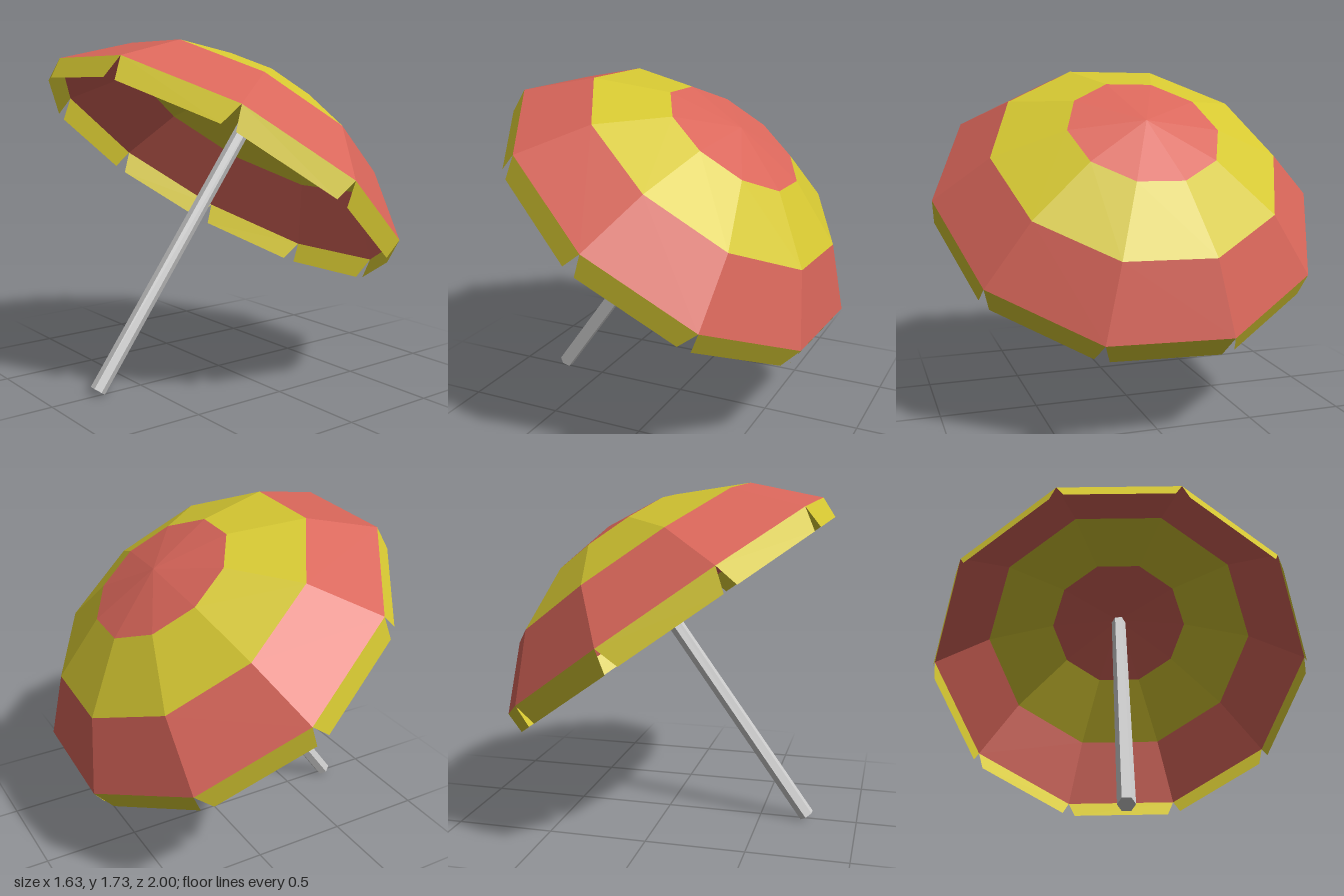
import * as THREE from 'three';

const SIDES = 10;
const paint = (color, side = THREE.FrontSide) =>
  new THREE.MeshStandardMaterial({ color, side, flatShading: true });

export function createModel() {
  const red = paint(0xd9665a, THREE.DoubleSide);
  const yellow = paint(0xd6c832, THREE.DoubleSide);
  const grey = paint(0xcccccc);

  const model = new THREE.Group();
  model.name = 'beachUmbrella';

  // Built upright with the rim at y = 0, then leaned over
  const lean = new THREE.Group();
  lean.name = 'leaningUmbrella';
  lean.position.set(0.033, 1.097, 0);
  lean.rotation.set(0.01, 0, -0.626);
  model.add(lean);

  const umbrella = new THREE.Group();
  umbrella.name = 'umbrella';
  umbrella.rotation.y = -0.05;
  lean.add(umbrella);

  const add = (name, geometry, material, parent = umbrella) => {
    const mesh = new THREE.Mesh(geometry, material);
    mesh.name = name;
    parent.add(mesh);
    return mesh;
  };

  // Canopy: three faceted bands from rim to tip, as [radius, height]
  const rings = [[1, 0], [0.735, 0.276], [0.382, 0.447], [0, 0.51]]
    .map(([r, y]) => new THREE.Vector2(r, y));
  ['canopyOuterBand', 'canopyMiddleBand', 'canopyCrown'].forEach((name, i) => {
    add(name, new THREE.LatheGeometry([rings[i], rings[i + 1]], SIDES), i === 1 ? yellow : red);
  });

  // Valance: one tapered flap hanging from each rim edge
  const half = Math.sin(Math.PI / SIDES);
  const drop = 0.118;
  const inset = 0.038;
  const flap = new THREE.ShapeGeometry(new THREE.Shape([
    new THREE.Vector2(-half, 0),
    new THREE.Vector2(-half + inset, -drop),
    new THREE.Vector2(half - inset, -drop),
    new THREE.Vector2(half, 0),
  ]));
  flap.translate(0, 0, Math.cos(Math.PI / SIDES));
  const valance = new THREE.Group();
  valance.name = 'valance';
  umbrella.add(valance);
  for (let i = 0; i < SIDES; i++) {
    add('valanceFlap', flap, yellow, valance).rotation.y = (i + 0.5) * 2 * Math.PI / SIDES;
  }

  // Pole: six-sided, reaching up to just under the tip
  const bottom = -1.325;
  const top = 0.48;
  const pole = add('pole', new THREE.CylinderGeometry(0.04, 0.04, top - bottom, 6), grey);
  pole.position.y = (top + bottom) / 2;

  return model;
}
